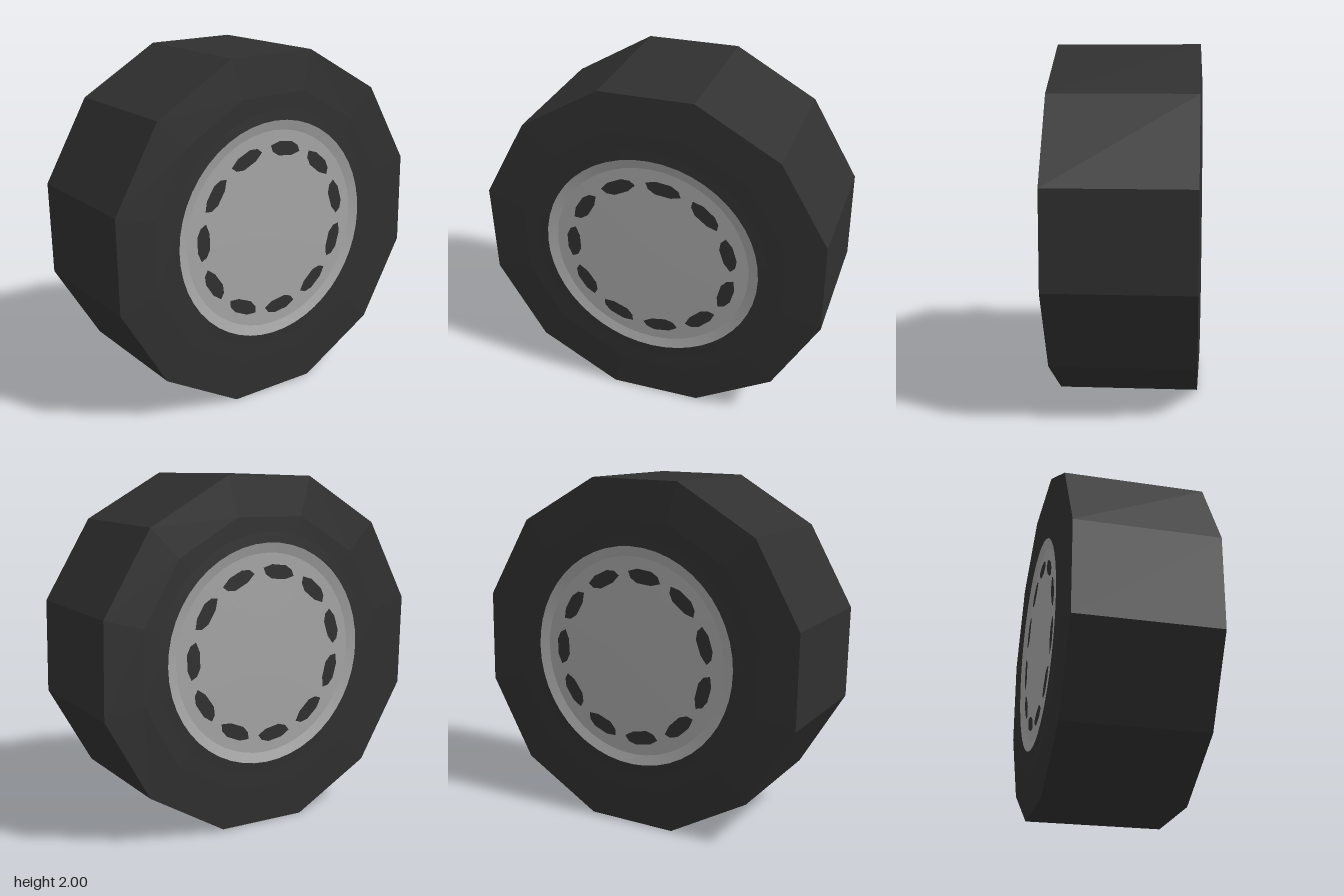
import * as THREE from 'three';

const rad = THREE.MathUtils.degToRad;

// Revolve [radius, x] points around the x axis
function lathe(points, segments, phi = 0) {
  const geo = new THREE.LatheGeometry(
    points.map(([r, x]) => new THREE.Vector2(r, x)), segments, phi);
  return geo.rotateZ(-Math.PI / 2);
}

function addMesh(parent, name, geo, material) {
  const mesh = new THREE.Mesh(geo, material);
  mesh.name = name;
  parent.add(mesh);
  return mesh;
}

export function createModel() {
  const rubber = new THREE.MeshStandardMaterial({ color: 0x303030, flatShading: true });
  rubber.name = 'darkRubber';
  const metal = new THREE.MeshStandardMaterial({ color: 0xa6a6a6 });
  metal.name = 'greyMetal';

  const wheel = new THREE.Group();
  wheel.name = 'wheel';

  // Twelve-sided tyre with slightly bulging sidewalls and a recess for each hub
  const half = [[1.03, 0.4], [0.8, 0.412], [0.655, 0.412], [0.65, 0.37], [0, 0.37]];
  const profile = [...half.map(([r, x]) => [r, -x]).reverse(), ...half];
  addMesh(wheel, 'tyre', lathe(profile, 12, rad(16)), rubber);

  // Vent outline: a rounded slot lying along the hub's circumference
  const ventShape = new THREE.Shape([
    [-0.105, 0.012], [-0.085, -0.022], [-0.04, -0.042], [0.05, -0.036],
    [0.105, -0.012], [0.085, 0.022], [0.04, 0.042], [-0.05, 0.038],
  ].map(([x, y]) => new THREE.Vector2(x, y)));

  function hub(name) {
    const group = new THREE.Group();
    group.name = name;
    // Dark bead, sloping grey rim and shallow domed cap
    addMesh(group, 'bead', lathe([[0.69, 0.412], [0.632, 0.414]], 48), rubber);
    addMesh(group, 'rim', lathe([[0.632, 0.414], [0.575, 0.398]], 48), metal);
    addMesh(group, 'hubCap', lathe([[0.575, 0.398], [0.17, 0.402], [0, 0.402]], 48), metal);
    // Ring of eleven vents
    for (let i = 0; i < 11; i++) {
      const geo = new THREE.ShapeGeometry(ventShape);
      geo.translate(0, 0.47, 0.403).rotateZ(-rad(9.7 + i * 360 / 11)).rotateY(Math.PI / 2);
      addMesh(group, 'vent', geo, rubber);
    }
    wheel.add(group);
    return group;
  }

  hub('leftHub');
  hub('rightHub').rotation.y = Math.PI;

  wheel.position.y = 1;
  const model = new THREE.Group();
  model.name = 'model';
  model.add(wheel);
  return model;
}
